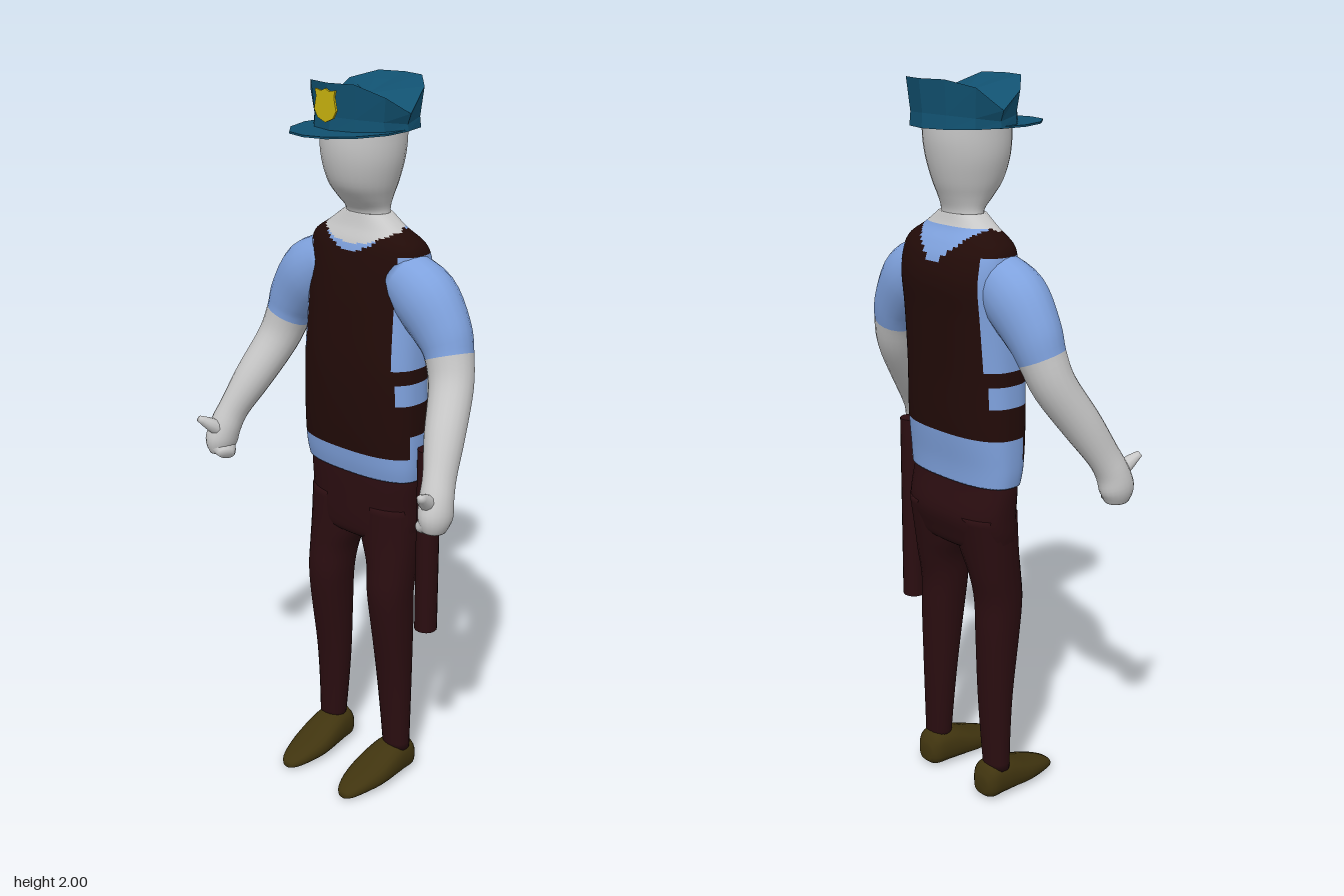
import * as THREE from 'three';

const mat = (name, color) => new THREE.MeshStandardMaterial({ name, color });

// Catmull-Rom refinement of number rows, n steps per interval
function smooth(rows, n) {
  const out = [];
  const at = i => rows[Math.max(0, Math.min(rows.length - 1, i))];
  for (let i = 0; i < rows.length - 1; i++) {
    const a = at(i - 1), b = at(i), c = at(i + 1), d = at(i + 2);
    for (let k = 0; k < n; k++) {
      const t = k / n;
      out.push(b.map((v, j) => {
        const cubic = 3 * (v - c[j]) + d[j] - a[j];
        const square = 2 * a[j] - 5 * v + 4 * c[j] - d[j];
        return v + 0.5 * t * (c[j] - a[j] + t * (square + t * cubic));
      }));
    }
  }
  out.push(rows[rows.length - 1]);
  return out;
}

// Closed skin over rings of points, capped at both ends; pick() chooses a material index per quad
function loft(rings, pick = () => 0, colours = 1) {
  const n = rings[0].length, pos = [], faces = Array.from({ length: colours }, () => []);
  rings.forEach(r => r.forEach(p => pos.push(p.x, p.y, p.z)));
  for (let i = 0; i < rings.length - 1; i++) {
    for (let j = 0; j < n; j++) {
      const k = (j + 1) % n, a = i * n + j, b = i * n + k, c = a + n, d = b + n;
      const mid = rings[i][j].clone().add(rings[i + 1][k]).multiplyScalar(0.5);
      faces[pick(mid, i)].push(a, c, b, b, c, d);
    }
  }
  [0, rings.length - 1].forEach((i, end) => {
    const m = rings[i].reduce((s, p) => s.add(p), new THREE.Vector3()).divideScalar(n);
    const centre = pos.length / 3, idx = pick(m, Math.max(0, i - 1));
    pos.push(m.x, m.y, m.z);
    for (let j = 0; j < n; j++) {
      const a = i * n + j, b = i * n + (j + 1) % n;
      faces[idx].push(centre, end ? b : a, end ? a : b);
    }
  });
  const g = new THREE.BufferGeometry();
  g.setAttribute('position', new THREE.Float32BufferAttribute(pos, 3));
  g.setIndex(faces.flat());
  let start = 0;
  faces.forEach((f, m) => { g.addGroup(start, f.length, m); start += f.length; });
  g.computeVertexNormals();
  return g;
}

// Rings along a path of [x, y, z, width radius, depth radius]; e rounds (2) or squares (>2) them
function sweep(rows, { n = 20, e = 2, ref = new THREE.Vector3(0, 0, 1), axis = null } = {}) {
  const at = i => new THREE.Vector3(...rows[Math.max(0, Math.min(rows.length - 1, i))].slice(0, 3));
  const pw = v => Math.sign(v) * Math.abs(v) ** (2 / e);
  return rows.map((r, i) => {
    const t = axis || at(i + 1).sub(at(i - 1)).normalize();
    const v = ref.clone().addScaledVector(t, -ref.dot(t)).normalize();
    const u = t.clone().cross(v);
    return Array.from({ length: n }, (_, j) => {
      const a = j / n * Math.PI * 2;
      return at(i).addScaledVector(u, r[3] * pw(Math.cos(a))).addScaledVector(v, r[4] * pw(Math.sin(a)));
    });
  });
}

// Upright rings from [y, half width, front z, back z], listed from the bottom up
const UP = new THREE.Vector3(0, 1, 0);
const upright = (rows, steps, opts) => sweep(
  smooth(rows, steps).map(([y, rx, f, b]) => [0, y, (f + b) / 2, rx, (f - b) / 2]), { axis: UP, ...opts });

export function createModel() {
  const group = new THREE.Group();
  const skin = mat('skin', 0xc8c8c8), shirt = mat('shirt', 0x7fa2de), vest = mat('vest', 0x220b08);
  const trousers = mat('trousers', 0x2a0d10), shoe = mat('shoe', 0x40340f);
  const hat = mat('hat', 0x115170), gold = mat('gold', 0xc8b20e);
  const add = (name, geometry, material) => {
    const m = new THREE.Mesh(geometry, material);
    m.name = name;
    group.add(m);
    return m;
  };

  // Torso: shirt under a vest with armholes, side straps and a neckline
  const torsoColour = p => {
    const x = Math.abs(p.x), y = p.y, front = p.z > -0.06;
    if (y > (front ? 1.585 + 2.5 * x * x : 1.63)) return 0;
    if (y > (front ? 1.565 + 5 * x * x : 1.53 + 0.85 * x)) return 1;
    if (y < (p.z > -0.02 ? 1.02 : 1.08)) return 1;
    if (x > 0.15 && y > 1.27 && y < 1.565) return 1;
    if (x > 0.16 && y > 1.175 && y < 1.225) return 1;
    return 2;
  };
  add('torso', loft(upright([
    [0.95, 0.19, 0.025, -0.135], [1.0, 0.195, 0.035, -0.138], [1.1, 0.195, 0.045, -0.15],
    [1.25, 0.19, 0.05, -0.157], [1.4, 0.186, 0.04, -0.168], [1.49, 0.186, 0.03, -0.176],
    [1.55, 0.185, 0.02, -0.165], [1.59, 0.172, 0.01, -0.145], [1.625, 0.12, -0.005, -0.12],
    [1.66, 0.07, -0.015, -0.108]], 8, { n: 72, e: 2.5 }), torsoColour, 3), [skin, shirt, vest]);

  // Head and neck
  add('head', loft(upright([
    [1.63, 0.075, -0.015, -0.11], [1.665, 0.066, -0.015, -0.108], [1.7, 0.076, 0.018, -0.12],
    [1.74, 0.091, 0.05, -0.137], [1.8, 0.105, 0.07, -0.155], [1.86, 0.107, 0.076, -0.165],
    [1.91, 0.1, 0.068, -0.16], [1.94, 0.06, 0.02, -0.11]], 4, { n: 28 })), skin);

  // Hips
  add('hips', loft(upright([
    [0.745, 0.07, -0.01, -0.09], [0.765, 0.165, 0.016, -0.128], [0.8, 0.182, 0.022, -0.143],
    [0.86, 0.184, 0.022, -0.155], [0.94, 0.185, 0.02, -0.132], [0.98, 0.178, 0.015, -0.125]],
  4, { n: 36, e: 2.4 })), trousers);

  for (const s of [1, -1]) {
    const side = s > 0 ? 'left' : 'right';
    const flip = rows => rows.map(([x, ...rest]) => [x * s, ...rest]);

    // Arm: short sleeve, then bare forearm and fist
    add(side + 'Arm', loft(sweep(smooth(flip([
      [0.12, 1.51, -0.06, 0.075, 0.07], [0.2, 1.46, -0.06, 0.092, 0.08],
      [0.262, 1.385, -0.058, 0.08, 0.07], [0.29, 1.325, -0.052, 0.066, 0.062],
      [0.315, 1.25, -0.03, 0.06, 0.057], [0.35, 1.145, 0.035, 0.053, 0.053],
      [0.378, 1.06, 0.085, 0.042, 0.046], [0.39, 1.01, 0.11, 0.044, 0.046],
      [0.397, 0.965, 0.122, 0.042, 0.05], [0.395, 0.93, 0.125, 0.03, 0.036]]), 4)),
    (p, i) => (i < 12 ? 0 : 1), 2), [shirt, skin]);
    add(side + 'Thumb', loft(sweep(smooth(flip([
      [0.385, 0.99, 0.12, 0.024, 0.024], [0.395, 1.02, 0.16, 0.021, 0.02],
      [0.408, 1.045, 0.195, 0.01, 0.009]]), 3), { n: 10, ref: UP })), skin);
    add(side + 'Fingers', loft(sweep(smooth(flip([
      [0.405, 0.965, 0.125, 0.03, 0.04], [0.38, 0.945, 0.13, 0.028, 0.038],
      [0.358, 0.932, 0.14, 0.014, 0.024]]), 3), { n: 12 })), skin);

    // Trouser leg
    add(side + 'Leg', loft(sweep(smooth(flip([
      [0.092, 0.86, -0.065, 0.088, 0.083], [0.095, 0.76, -0.055, 0.086, 0.075],
      [0.109, 0.68, -0.045, 0.07, 0.07], [0.113, 0.6, -0.035, 0.064, 0.066],
      [0.116, 0.5, -0.04, 0.059, 0.061], [0.118, 0.33, -0.05, 0.053, 0.046],
      [0.122, 0.2, -0.053, 0.047, 0.038], [0.127, 0.085, -0.053, 0.041, 0.033]]), 4),
    { axis: new THREE.Vector3(0, -1, 0), e: 2.2 })), trousers);

    // Shoe, swept from heel to toe
    add(side + 'Shoe', loft(sweep(smooth(flip([
      [0.122, 0.04, -0.11, 0.025, 0.025], [0.122, 0.05, -0.09, 0.046, 0.05],
      [0.12, 0.053, -0.05, 0.052, 0.053], [0.118, 0.048, -0.01, 0.056, 0.048],
      [0.115, 0.035, 0.05, 0.058, 0.035], [0.113, 0.024, 0.11, 0.046, 0.024],
      [0.113, 0.015, 0.15, 0.03, 0.015], [0.113, 0.01, 0.165, 0.014, 0.008]]), 3),
    { axis: new THREE.Vector3(0, 0, 1), ref: UP, e: 2.5 })), shoe);
  }

  // Baton at the left hip
  add('baton', new THREE.CylinderGeometry(0.032, 0.032, 0.54, 16), trousers).position.set(0.226, 0.78, -0.058);

  // Faceted cap: rim is high at front and back, low at the sides
  const rim = s => 1.922 + 0.076 * Math.min(1, Math.abs(s) * (s > 0 ? 1.15 : 1.5));
  const capRing = (r, y) => Array.from({ length: 12 }, (_, j) => {
    const a = j / 12 * Math.PI * 2, s = Math.sin(a);
    return new THREE.Vector3(r * Math.cos(a), y(s), -0.055 + r * s);
  });
  const cap = loft([capRing(0.14, () => 1.878), capRing(0.137, s => 1.895 + 0.02 * Math.abs(s)),
    capRing(0.147, rim), capRing(0.09, s => 1.96 + (rim(s) - 1.96) * 0.62),
    capRing(0.004, () => 1.958)]).toNonIndexed();
  cap.computeVertexNormals();
  add('cap', cap, hat);

  // Cap visor
  const half = [[0.142, 0.026], [0.113, 0.106], [0.061, 0.163]];
  const visorShape = new THREE.Shape([[0.137, -0.055], ...half, [0, 0.178],
    ...half.map(([x, z]) => [-x, z]).reverse(), [-0.137, -0.055]].map(p => new THREE.Vector2(...p)));
  const visor = add('visor', new THREE.ExtrudeGeometry(visorShape, { depth: 0.005, bevelEnabled: false }), hat);
  visor.rotation.x = Math.PI / 2;
  visor.position.y = 1.882;

  // Shield badge on the cap
  const edge = [[0.014, 0.034], [0.034, 0.038], [0.03, 0.02], [0.037, -0.012], [0.026, -0.031]];
  const badgeShape = new THREE.Shape([[0, -0.042], ...edge.slice().reverse(), [0, 0.04],
    ...edge.map(([x, y]) => [-x, y])].map(p => new THREE.Vector2(...p)));
  add('badge', new THREE.ExtrudeGeometry(badgeShape, { depth: 0.006, bevelEnabled: false }), gold)
    .position.set(0, 1.945, 0.093);

  return group;
}
